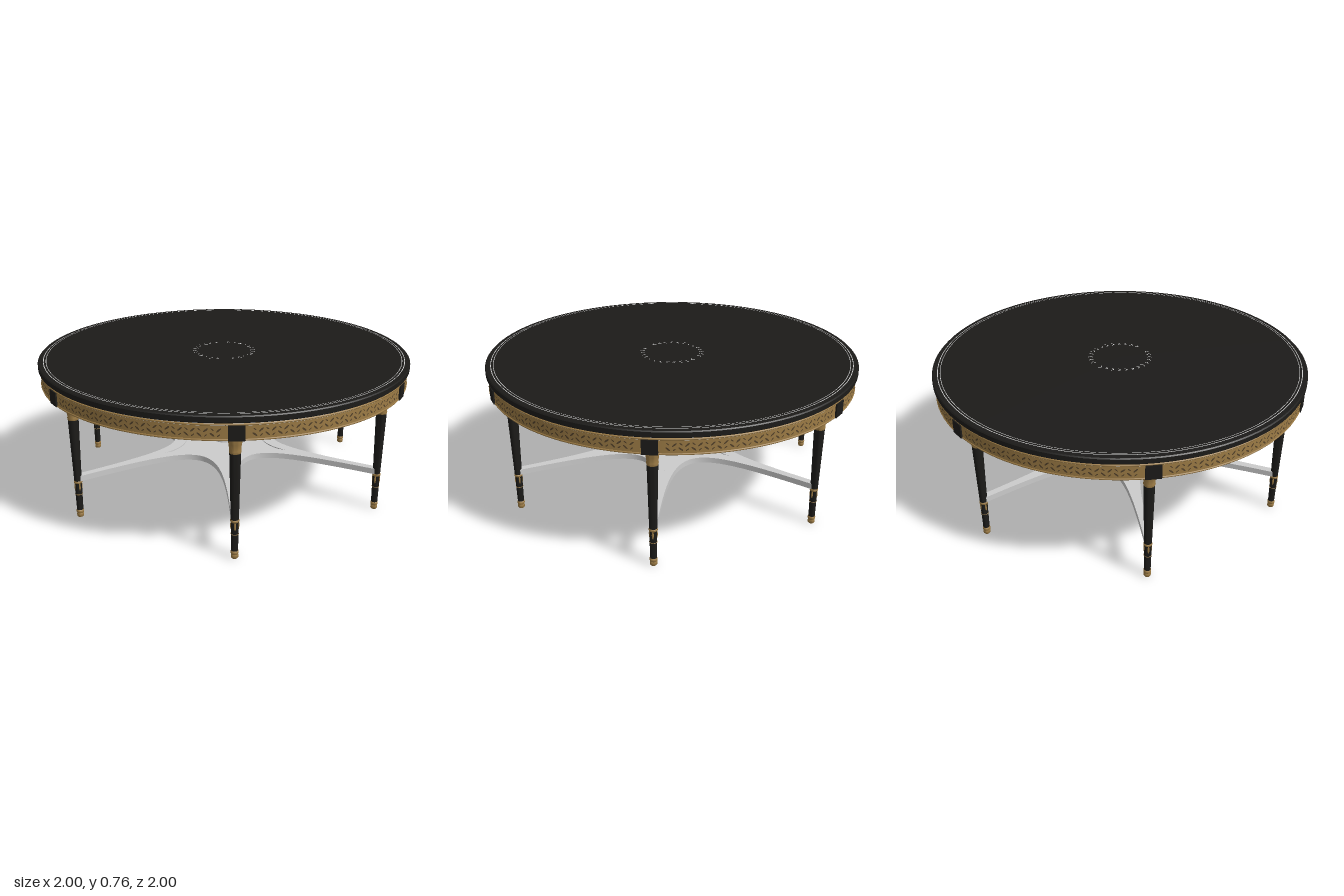
import * as THREE from 'three';
import { mergeGeometries, toCreasedNormals } from 'three/addons/utils/BufferGeometryUtils.js';

const mat = (color) => new THREE.MeshStandardMaterial({ color, side: THREE.DoubleSide });
const black = mat(0x1c1b19), gold = mat(0x9c7b45), darkGold = mat(0x54422a), silver = mat(0xcccccc);
const LEGS = 6, LEG_RADIUS = 0.9, STEP = Math.PI / 3;

function part(name, geometry, material, parent) {
  const mesh = new THREE.Mesh(geometry, material);
  mesh.name = name;
  parent.add(mesh);
  return mesh;
}

// Turned part from [radius, height] pairs, with crisp edges
function turned(points, segments = 24) {
  const profile = points.map(([r, y]) => new THREE.Vector2(r, y));
  return toCreasedNormals(new THREE.LatheGeometry(profile, segments), 0.6);
}

const ring = (inner, outer, y) =>
  new THREE.RingGeometry(inner, outer, 96, 1).rotateX(-Math.PI / 2).translate(0, y, 0);

// Six-armed star: concave curves running from arm tip to arm tip
function star(path, tip, halfWidth, control) {
  const at = (angle, r, side) => [
    r * Math.sin(angle) + side * Math.cos(angle),
    r * Math.cos(angle) - side * Math.sin(angle),
  ];
  path.moveTo(...at(0, tip, halfWidth));
  for (let i = 0; i < LEGS; i++) {
    const a = i * STEP, b = a + STEP;
    path.bezierCurveTo(...at(a, control, halfWidth), ...at(b, control, -halfWidth), ...at(b, tip, -halfWidth));
    if (halfWidth) path.lineTo(...at(b, tip, halfWidth));
  }
  return path;
}

function slab(shape, bottom, height) {
  const geo = new THREE.ExtrudeGeometry(shape, { depth: height, bevelEnabled: false, curveSegments: 28 });
  return toCreasedNormals(geo.rotateX(-Math.PI / 2).translate(0, bottom, 0), 0.5);
}

function buildTop(group) {
  part('tableTop', turned([[0, 0.724], [0.994, 0.724], [1, 0.729], [1, 0.753], [0.995, 0.758], [0, 0.758]], 128), black, group);
  part('outerInlay', ring(0.969, 0.973, 0.7595), silver, group);
  part('innerInlay', ring(0.956, 0.959, 0.7595), silver, group);

  // Open wreath of paired leaves, both branches rising to the back
  const leaves = [];
  for (const side of [-1, 1]) {
    for (let i = 0; i < 13; i++) {
      const a = side * (0.22 + i * 0.222);
      for (const tilt of [-1, 1]) {
        const leaf = new THREE.CircleGeometry(1, 8).scale(0.0022, 0.012, 1).translate(0, -0.009, 0);
        leaf.rotateZ(tilt * 0.75).rotateX(-Math.PI / 2);
        leaf.rotateY(side * Math.PI / 2 + a);
        leaves.push(leaf.translate(0.16 * Math.sin(a), 0.7595, 0.16 * Math.cos(a)));
      }
    }
  }
  part('wreathInlay', mergeGeometries(leaves), silver, group);
}

function buildApron(group) {
  part('apronCore', turned([[0, 0.638], [0.985, 0.638], [0.985, 0.725], [0, 0.725]], 128), silver, group);
  part('frieze', new THREE.CylinderGeometry(0.989, 0.989, 0.062, 128, 1, true).translate(0, 0.679, 0), gold, group);
  for (const y of [0.643, 0.715]) {
    part('apronMoulding', new THREE.TorusGeometry(0.987, 0.005, 8, 128).rotateX(Math.PI / 2).translate(0, y, 0), gold, group);
  }

  // Leaf scroll along the frieze, leaving room for the blocks
  const scroll = [];
  for (let s = 0; s < LEGS; s++) {
    for (let i = 0; i < 32; i++) {
      const a = s * STEP + 0.065 + (i + 0.5) * (STEP - 0.13) / 32;
      const up = i % 2 ? 1 : -1;
      for (const [size, dy] of [[0.014, 0.010], [0.009, -0.014]]) {
        const leaf = new THREE.CircleGeometry(1, 8).scale(size, size * 0.3, 1);
        leaf.rotateZ(up * 0.7).translate(0, 0.679 + up * dy, 0.9905);
        scroll.push(leaf.rotateY(a));
      }
    }
  }
  part('friezeScroll', mergeGeometries(scroll), darkGold, group);

  for (let i = 0; i < LEGS; i++) {
    part('apronBlock', new THREE.BoxGeometry(0.075, 0.072, 0.04).translate(0, 0.676, 0.976).rotateY(i * STEP), black, group);
  }
}

function buildLeg() {
  const leg = new THREE.Group();
  leg.name = 'leg';
  part('legShaft', turned([[0, 0.035], [0.0165, 0.035], [0.019, 0.2], [0.02, 0.24], [0.027, 0.55], [0, 0.55]]), black, leg);
  part('legCapital', turned([
    [0, 0.545], [0.027, 0.545], [0.029, 0.555], [0.027, 0.562], [0.031, 0.59],
    [0.035, 0.615], [0.035, 0.625], [0.031, 0.632], [0.029, 0.64], [0, 0.64],
  ]), gold, leg);
  part('legFoot', turned([
    [0, 0], [0.015, 0], [0.018, 0.005], [0.018, 0.018], [0.016, 0.022], [0.0195, 0.028], [0.0195, 0.036], [0.0165, 0.041], [0, 0.041],
  ]), gold, leg);
  part('legBand', new THREE.TorusGeometry(0.018, 0.0018, 6, 24).rotateX(Math.PI / 2).translate(0, 0.13, 0), gold, leg);
  part('legCollar', turned([[0.0185, 0.192], [0.0215, 0.197], [0.0215, 0.203], [0.019, 0.207]]), gold, leg);

  // Pendant leaves below the stretcher joint
  for (let i = 0; i < 4; i++) {
    const leaf = new THREE.SphereGeometry(1, 8, 8).scale(0.005, 0.022, 0.003).translate(0, 0.175, 0.0185);
    part('legLeaf', leaf.rotateY(i * Math.PI / 2), gold, leg);
  }
  return leg;
}

function buildStretcher(group) {
  const frame = star(new THREE.Shape(), 0.9, 0.018, 0.12);
  frame.holes.push(star(new THREE.Path(), 0.4, 0, 0.198));
  part('stretcherFrame', slab(frame, 0.205, 0.03), silver, group);
  part('stretcherPanel', slab(star(new THREE.Shape(), 0.42, 0, 0.205), 0.211, 0.019), silver, group);
  part('stretcherBoss', turned([[0, 0.199], [0.058, 0.199], [0.058, 0.239], [0, 0.239]], 48), silver, group);
}

export function createModel() {
  const table = new THREE.Group();
  table.name = 'roundTable';
  buildTop(table);
  buildApron(table);
  buildStretcher(table);
  for (let i = 0; i < LEGS; i++) {
    const leg = buildLeg();
    leg.position.set(LEG_RADIUS * Math.sin(i * STEP), 0, LEG_RADIUS * Math.cos(i * STEP));
    leg.rotation.y = i * STEP;
    table.add(leg);
  }
  return table;
}
